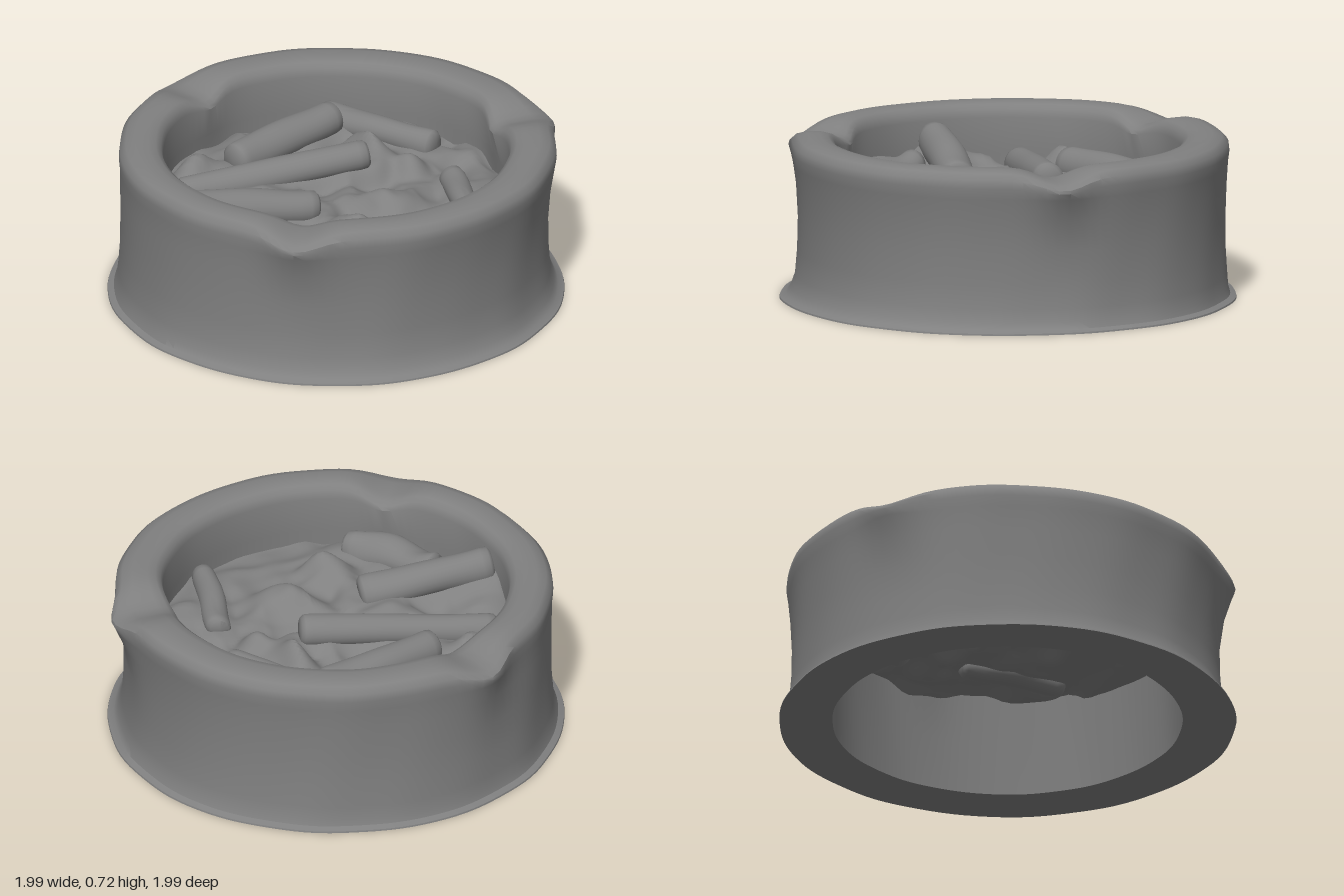
import * as THREE from 'three';
import { toCreasedNormals } from 'three/addons/utils/BufferGeometryUtils.js';

const { sin, cos, abs, exp, hypot, atan2, PI } = Math;
const { smoothstep, clamp, lerp } = THREE.MathUtils;
const grey = new THREE.MeshStandardMaterial({ color: 0x808080, side: THREE.DoubleSide });

// Moves every vertex of a geometry by a rule
function warp(geometry, rule) {
  const p = geometry.attributes.position;
  const v = new THREE.Vector3();
  for (let i = 0; i < p.count; i++) {
    v.fromBufferAttribute(p, i);
    rule(v);
    p.setXYZ(i, v.x, v.y, v.z);
  }
  return geometry;
}

function addMesh(group, geometry, name, crease) {
  const mesh = new THREE.Mesh(toCreasedNormals(geometry, crease), grey);
  mesh.name = name;
  group.add(mesh);
  return mesh;
}

// Three rests, one at the front and two at the back sides
const rests = [PI / 2, PI / 2 + 2.1, PI / 2 - 2.12];
function restWeight(angle, width) {
  let w = 0;
  for (const a of rests) {
    const d = atan2(sin(angle - a), cos(angle - a));
    w += exp(-((d / width) ** 2));
  }
  return w;
}

// Worn ring: open at the bottom, thin flared foot, rounded rim
function ringGeometry() {
  const profile = [
    [0.762, 0.008], [0.994, 0.008], [0.992, 0.015], [0.966, 0.026], [0.952, 0.055], [0.94, 0.11],
    [0.932, 0.22], [0.93, 0.36], [0.936, 0.5], [0.945, 0.6], [0.952, 0.65], [0.948, 0.688],
    [0.922, 0.715], [0.88, 0.726], [0.82, 0.725], [0.785, 0.717], [0.762, 0.698], [0.752, 0.66],
    [0.755, 0.5], [0.76, 0.25], [0.762, 0.008],
  ].map(([r, y]) => new THREE.Vector2(r, y));
  return warp(new THREE.LatheGeometry(profile, 120), (v) => {
    const a = atan2(v.z, v.x);
    let r = hypot(v.x, v.z);
    const top = smoothstep(v.y, 0.4, 0.66);
    const outer = smoothstep(r, 0.8, 0.92);
    // Hand-worn wobble
    const wobble = 0.5 * sin(5 * a + 1) + 0.4 * sin(11 * a + 2 + 3 * v.y) + 0.3 * sin(17 * a + 5 * v.y);
    r += wobble * (0.003 + 0.002 * outer);
    // Rests dip in the middle and push the lip out and in
    r += top * outer * 0.05 * restWeight(a, 0.14);
    r -= top * (1 - outer) * 0.03 * restWeight(a, 0.15);
    const rim = smoothstep(v.y, 0.6, 0.72);
    v.y -= rim * (0.055 * restWeight(a, 0.14) + 0.003 * (1 + sin(3 * a)));
    // The body sits slightly off the middle of its foot
    const shift = 0.01 * outer * smoothstep(v.y, 0.02, 0.1);
    v.x = r * cos(a) - shift * (1 - 1.4 * top);
    v.z = r * sin(a) - shift;
  });
}

// Stubs: name, two end points, radius, amount of crushing
const stubs = [
  ['backLeftStub', [-0.13, 0.53, -0.61], [-0.48, 0.51, -0.11], 0.08, 0.08],
  ['middleStub', [0.1, 0.555, -0.22], [-0.68, 0.465, 0.17], 0.07, 0.06],
  ['frontStub', [-0.04, 0.5, 0.23], [-0.56, 0.58, 0.52], 0.08, 0.1],
  ['backStub', [-0.2, 0.49, -0.69], [0.35, 0.495, -0.47], 0.068, 0.12],
  ['sideStub', [0.46, 0.49, -0.21], [0.67, 0.49, 0.23], 0.055, 0.12],
  ['crushedStub', [-0.31, 0.5, 0.55], [0.14, 0.48, 0.64], 0.078, 0.25],
];

// Lumps in the ash: x, z, height, radius
const lumps = [
  [0.06, -0.4, 0.1, 0.09], [0.14, -0.33, 0.06, 0.08], [0.3, 0.1, 0.1, 0.1], [0.2, 0.12, 0.04, 0.08],
  [0.12, 0.39, 0.09, 0.09], [0.22, 0.4, 0.06, 0.06], [-0.18, 0.12, 0.06, 0.1], [-0.62, -0.06, 0.1, 0.09],
  [0.2, -0.66, 0.07, 0.08], [0.28, -0.27, 0.07, 0.07], [-0.33, 0.12, 0.05, 0.08], [0.14, 0.6, 0.05, 0.08],
  [-0.02, 0.32, 0.06, 0.07], [0.65, -0.1, 0.05, 0.14], [-0.52, 0.54, 0.13, 0.13], [-0.62, 0.35, 0.07, 0.1],
];

function ashHeight(x, z) {
  const u = x + 0.02 * sin(13 * z + 1);
  const w = z + 0.02 * sin(12 * x + 2);
  let y = 0.458 - 0.025 * smoothstep(hypot(x, z), 0.6, 0.76);
  for (const [cx, cz, h, r] of lumps) y += h * exp(-((hypot(u - cx, w - cz) / r) ** 2.5));
  // Rubble, calmer towards the front left
  const rough = 1 - 0.5 * smoothstep(x + z, 0.2, 0.8);
  y += rough * 0.02 * sin(13 * u + 4 * w) * sin(12 * w - 5 * u + 1);
  y += rough * 0.012 * (1 - 2 * abs(sin(12 * u - 9 * w + 2) * cos(8 * u + 11 * w)));
  y += rough * 0.008 * sin(31 * u + 11 * w) * cos(27 * w - 6 * u);
  // Ash banked softly against the stubs
  for (const [, a, b, radius] of stubs) {
    const dx = b[0] - a[0];
    const dz = b[2] - a[2];
    const t = clamp(((x - a[0]) * dx + (z - a[2]) * dz) / (dx * dx + dz * dz), 0, 1);
    const d = hypot(x - a[0] - t * dx, z - a[2] - t * dz);
    y = lerp(y, lerp(a[1], b[1], t), 0.6 * (1 - smoothstep(d, radius * 0.6, radius * 1.8)));
  }
  return y;
}

// Sheet of ash closing the middle of the ring
function ashGeometry() {
  const sheet = new THREE.RingGeometry(0.002, 0.77, 130, 50).rotateX(-PI / 2);
  return warp(sheet, (v) => { v.y = ashHeight(v.x, v.z); });
}

// Stub with rounded ends, a little crushed and bent
function addStub(group, name, from, to, radius, crush) {
  const length = hypot(to[0] - from[0], to[1] - from[1], to[2] - from[2]);
  const ends = [[0, 0], [0.75, 0.004], [0.95, 0.018], [1, 0.05]];
  const profile = ends.map(([r, d]) => new THREE.Vector2(r * radius, d));
  for (let i = 1; i < 10; i++) profile.push(new THREE.Vector2(radius, 0.05 + (length - 0.1) * i / 10));
  for (const [r, d] of ends.reverse()) profile.push(new THREE.Vector2(r * radius, length - d));
  const geometry = new THREE.LatheGeometry(profile, 24).rotateX(PI / 2);
  warp(geometry, (v) => {
    const t = v.z / length;
    const angle = atan2(v.y, v.x);
    const s = 1 + crush * (0.5 * sin(2 * angle + 5 * t) + 0.5 * sin(9 * t + 3 * length + angle));
    v.x = v.x * s + crush * 0.06 * sin(7 * t);
    v.y = v.y * s;
  });
  const mesh = addMesh(group, geometry, name, 0.9);
  mesh.position.set(...from);
  mesh.lookAt(...to);
}

export function createModel() {
  const model = new THREE.Group();
  model.name = 'ashtray';
  addMesh(model, ringGeometry(), 'ring', 0.7);
  addMesh(model, ashGeometry(), 'ash', 1);
  const stubGroup = new THREE.Group();
  stubGroup.name = 'stubs';
  for (const stub of stubs) addStub(stubGroup, ...stub);
  model.add(stubGroup);
  return model;
}
